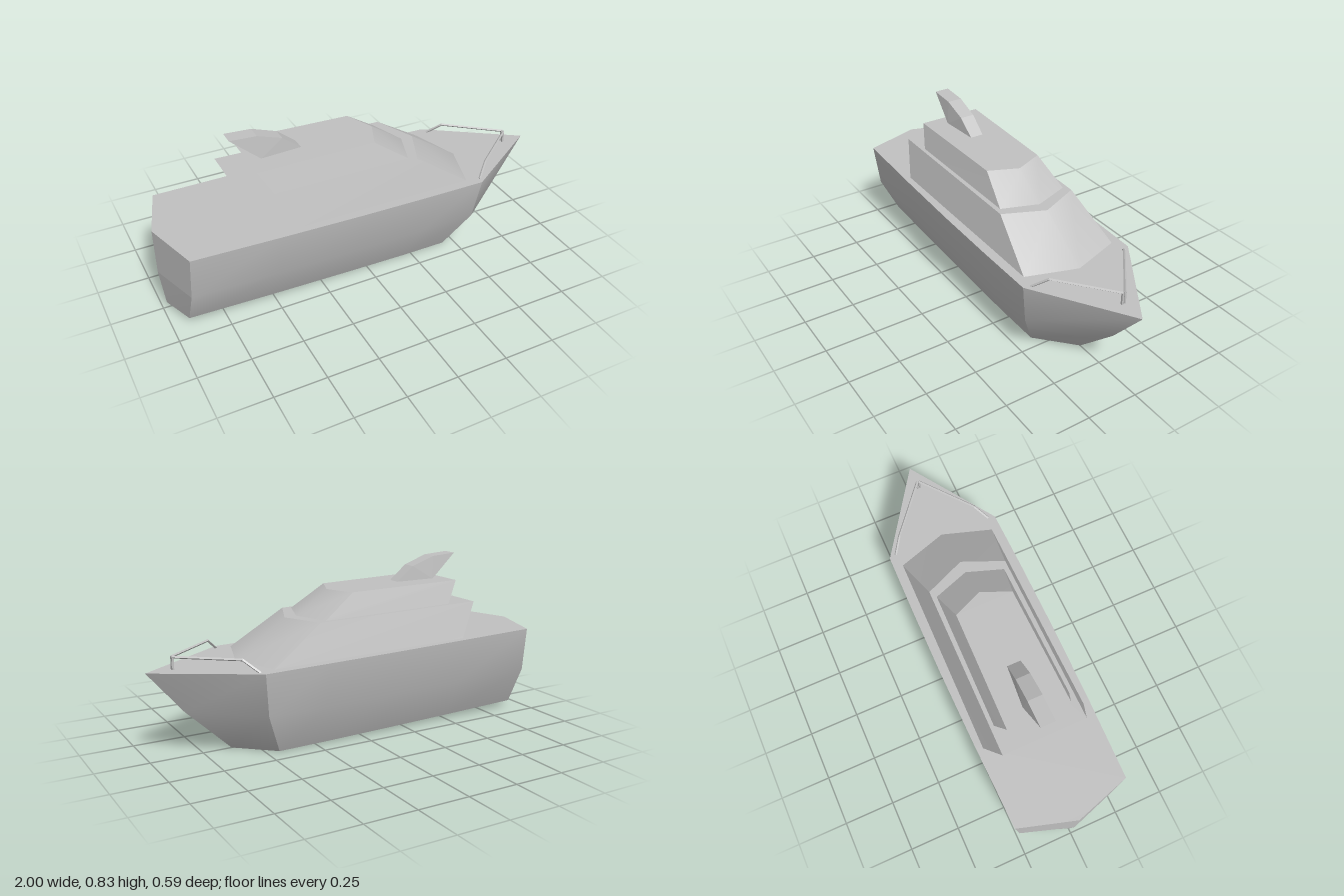
import * as THREE from 'three';

const hullGrey = new THREE.MeshStandardMaterial({ color: 0xc0c0c0, side: THREE.DoubleSide });
hullGrey.name = 'light grey';

// Smooth panel from rows of points: columns run left to right, rows bottom to top.
function panel(name, rows) {
  const w = rows[0].length, index = [];
  for (let i = 0; i < rows.length - 1; i++) {
    for (let j = 0; j < w - 1; j++) {
      const a = i * w + j, b = a + 1, c = b + w, d = a + w;
      index.push(a, b, c, a, c, d);
    }
  }
  const geo = new THREE.BufferGeometry();
  geo.setAttribute('position', new THREE.Float32BufferAttribute(rows.flat(2), 3));
  geo.setIndex(index);
  geo.computeVertexNormals();
  const mesh = new THREE.Mesh(geo, hullGrey);
  mesh.name = name;
  return mesh;
}

const flipZ = (row) => row.map(([x, y, z]) => [x, y, -z]);
const mirrorRows = (rows) => rows.map((row) => flipZ(row).reverse());

// A panel and its mirror image across the centreline
function pair(group, name, rows) {
  group.add(panel(name + 'Near', rows), panel(name + 'Far', mirrorRows(rows)));
}

// Square bar between two points
function bar(name, from, to, size = 0.009) {
  const a = new THREE.Vector3(...from), b = new THREE.Vector3(...to);
  const geo = new THREE.BoxGeometry(size, a.distanceTo(b) + size * 0.6, size);
  const mesh = new THREE.Mesh(geo, hullGrey);
  mesh.position.copy(a).add(b).multiplyScalar(0.5);
  mesh.quaternion.setFromUnitVectors(new THREE.Vector3(0, 1, 0), b.sub(a).normalize());
  mesh.name = name;
  return mesh;
}

function buildHull() {
  const hull = new THREE.Group();
  hull.name = 'hull';
  // Keel edge, chine and deck edge, stern to bow
  const side = [
    [[-0.92, 0.03, 0.155], [-0.5, 0.021, 0.162], [-0.1, 0.013, 0.165], [0.2, 0.007, 0.165], [0.44, 0.002, 0.16]],
    [[-0.92, 0.225, 0.25], [-0.5, 0.22, 0.26], [-0.1, 0.215, 0.264], [0.25, 0.212, 0.264], [0.535, 0.21, 0.26]],
    [[-0.915, 0.447, 0.28], [-0.5, 0.44, 0.291], [-0.1, 0.432, 0.296], [0.25, 0.425, 0.295], [0.56, 0.418, 0.29]],
  ];
  const stem = [[0.61, 0, 0], [0.83, 0.21, 0], [1, 0.413, 0]];
  const transom = [[-0.98, 0.03, 0], [-1, 0.22, 0], [-1, 0.45, 0]];

  pair(hull, 'hullSide', side);
  pair(hull, 'bow', side.map((row, i) => [row[4], stem[i]]));
  const stern = side.map((row, i) => [transom[i], row[0]]);
  pair(hull, 'lowerStern', stern.slice(0, 2));
  pair(hull, 'upperStern', stern.slice(1));

  const edge = [transom[2], ...side[2], stem[2]];
  hull.add(panel('deck', [edge, flipZ(edge)]));
  return hull;
}

// Raked cabin tier; base and top are each [aft, front corner, nose]
function buildCabin(name, base, top) {
  const cabin = new THREE.Group();
  cabin.name = name;
  pair(cabin, 'side', [base.slice(0, 2), top.slice(0, 2)]);
  const around = ([, corner, nose]) => [corner, nose, flipZ([corner])[0]];
  cabin.add(panel('windscreen', [around(base), around(top)]));
  const across = ([aft]) => [flipZ([aft])[0], aft];
  cabin.add(panel('aftWall', [across(base), across(top)]));
  cabin.add(panel('roof', [top, flipZ(top)]));
  return cabin;
}

function buildFin() {
  const fin = new THREE.Group();
  fin.name = 'radarFin';
  // Base rear, base front, then over the top to the swept tip
  const rim = [[-0.48, 0.71, 0.05], [-0.275, 0.704, 0.033], [-0.37, 0.78, 0.035],
    [-0.49, 0.822, 0.036], [-0.62, 0.83, 0.036]];
  for (let i = 1; i < rim.length - 1; i++) {
    pair(fin, 'finSide', [[rim[0], rim[i]], [rim[0], rim[i + 1]]]);
  }
  for (let i = 1; i < rim.length; i++) {
    const ends = [rim[i], rim[(i + 1) % rim.length]];
    fin.add(panel('finRim', [ends, flipZ(ends)]));
  }
  return fin;
}

function buildRail() {
  const rail = new THREE.Group();
  rail.name = 'bowRail';
  for (const s of [1, -1]) {
    const foot = [0.57, 0.418, 0.254 * s], bend = [0.63, 0.472, 0.205 * s];
    const tip = [0.876, 0.472, 0.006 * s], post = [0.876, 0.414, 0.006 * s];
    rail.add(bar('railLeg', foot, bend), bar('topRail', bend, tip), bar('railPost', tip, post));
  }
  return rail;
}

export function createModel() {
  const yacht = new THREE.Group();
  yacht.name = 'yacht';
  yacht.add(buildHull());
  yacht.add(buildCabin('lowerCabin',
    [[-0.52, 0.438, 0.26], [0.5, 0.418, 0.245], [0.58, 0.416, 0]],
    [[-0.62, 0.607, 0.208], [0.24, 0.591, 0.198], [0.325, 0.589, 0]]));
  yacht.add(buildCabin('upperCabin',
    [[-0.48, 0.603, 0.188], [0.205, 0.59, 0.176], [0.268, 0.588, 0]],
    [[-0.545, 0.713, 0.155], [0.04, 0.703, 0.142], [0.1, 0.702, 0]]));
  yacht.add(buildFin());
  yacht.add(buildRail());
  return yacht;
}
